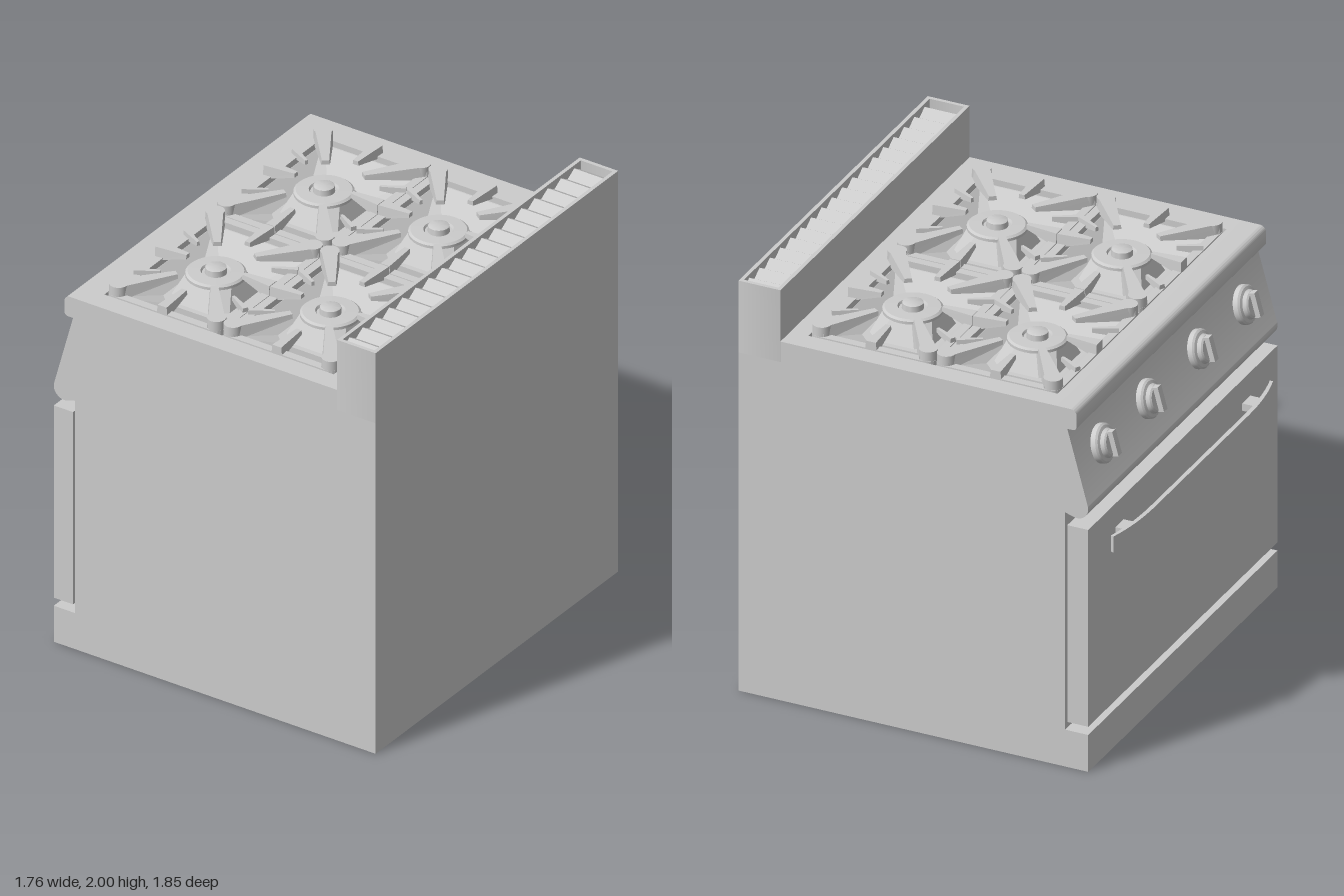
import * as THREE from 'three';
import { toCreasedNormals } from 'three/addons/utils/BufferGeometryUtils.js';

const GREY = new THREE.MeshStandardMaterial({ color: 0xcccccc });
const FACETED = new THREE.MeshStandardMaterial({ color: 0xcccccc, flatShading: true });
const HALF = 0.925; // half width of the cabinet along z

function add(parent, name, geometry, x = 0, y = 0, z = 0, material = GREY) {
  const mesh = new THREE.Mesh(geometry, material);
  mesh.name = name;
  mesh.position.set(x, y, z);
  parent.add(mesh);
  return mesh;
}

// box given by its limits
function block(parent, name, x0, x1, y0, y1, z0, z1) {
  const g = new THREE.BoxGeometry(x1 - x0, y1 - y0, z1 - z0);
  return add(parent, name, g, (x0 + x1) / 2, (y0 + y1) / 2, (z0 + z1) / 2);
}

// side profile (x, y) swept across the width
function sweep(shape, half) {
  const g = new THREE.ExtrudeGeometry(shape, { depth: half * 2, bevelEnabled: false, curveSegments: 12 });
  return toCreasedNormals(g.translate(0, 0, -half), 0.5);
}

// plan outline (x, z) raised from y0 to y1
function slab(shape, y0, y1) {
  const g = new THREE.ExtrudeGeometry(shape, { depth: y1 - y0, bevelEnabled: false, curveSegments: 8 });
  return toCreasedNormals(g.rotateX(-Math.PI / 2).translate(0, y0, 0), 0.5);
}

function roundRect(path, hx, hz, r) {
  path.moveTo(hx, -hz + r);
  path.absarc(hx - r, hz - r, r, 0, Math.PI / 2);
  path.absarc(-hx + r, hz - r, r, Math.PI / 2, Math.PI);
  path.absarc(-hx + r, -hz + r, r, Math.PI, Math.PI * 1.5);
  path.absarc(hx - r, -hz + r, r, Math.PI * 1.5, Math.PI * 2);
  return path;
}

// sloped pan with a raised centre, from chamfered rectangular loops
function panGeometry() {
  const loops = [[0.2975, 0.4125, 0.002, 1.73], [0.255, 0.365, 0.01, 1.725], [0.17, 0.2, 0.05, 1.66],
    [0.15, 0.175, 0.06, 1.66], [0.115, 0.115, 0.065, 1.75]];
  const pos = [], index = [];
  for (const [a, b, c, y] of loops) {
    const ring = [[a, -b + c], [a, b - c], [a - c, b], [-a + c, b], [-a, b - c], [-a, -b + c], [-a + c, -b], [a - c, -b]];
    for (const [x, z] of ring) pos.push(x, y, z);
  }
  for (let l = 0; l < loops.length - 1; l++) {
    for (let i = 0; i < 8; i++) {
      const a = l * 8 + i, a1 = l * 8 + (i + 1) % 8;
      index.push(a, a + 8, a1, a1, a + 8, a1 + 8);
    }
  }
  const g = new THREE.BufferGeometry();
  g.setAttribute('position', new THREE.Float32BufferAttribute(pos, 3));
  g.setIndex(index);
  g.computeVertexNormals();
  return g;
}

// tapered grate finger from (x0, z0) to (x1, z1), its underside rising to the tip
function finger(parent, name, [x0, z0], [x1, z1], w0, w1, top, bottom = 1.735) {
  const length = Math.hypot(x1 - x0, z1 - z0);
  const g = new THREE.BoxGeometry(length, 1, 1).translate(length / 2, 0, 0);
  const p = g.attributes.position;
  for (let i = 0; i < p.count; i++) {
    const tip = p.getX(i) > length / 2, upper = p.getY(i) > 0;
    p.setY(i, upper ? top : tip ? top - 0.02 : bottom);
    p.setZ(i, p.getZ(i) * (tip ? w1 : w0) * (upper ? 0.9 : 1.1));
  }
  g.computeVertexNormals();
  add(parent, name, g, x0, 0, z0).rotation.y = -Math.atan2(z1 - z0, x1 - x0);
}

function makeHob() {
  const hob = new THREE.Group();
  hob.name = 'hobUnit';
  add(hob, 'burnerPan', panGeometry(), 0, 0, 0, FACETED);

  // burner head with a recessed ring and central cap
  const head = [[0.11, 1.735], [0.132, 1.745], [0.132, 1.758], [0.122, 1.766], [0.066, 1.768],
    [0.06, 1.758], [0.048, 1.758], [0.046, 1.785], [0.04, 1.788], [0, 1.788]];
  const lathe = new THREE.LatheGeometry(head.map(([x, y]) => new THREE.Vector2(x, y)), 32);
  add(hob, 'burnerHead', toCreasedNormals(lathe, 0.5));

  // cast grate: frame, corner pads and fingers
  const grate = new THREE.Group();
  grate.name = 'grate';
  hob.add(grate);
  const frame = roundRect(new THREE.Shape(), 0.296, 0.41, 0.04);
  frame.holes.push(roundRect(new THREE.Path(), 0.257, 0.371, 0.02));
  add(grate, 'grateFrame', slab(frame, 1.725, 1.755));
  for (const s of [-1, 1]) {
    finger(grate, 'sideFinger', [s * 0.296, 0], [s * 0.145, 0], 0.06, 0.025, 1.8);
    finger(grate, 'endFinger', [0, s * 0.41], [0, s * 0.24], 0.052, 0.028, 1.79);
    for (const t of [-1, 1]) {
      add(grate, 'cornerPad', new THREE.CylinderGeometry(0.042, 0.042, 0.065, 20), s * 0.254, 1.7675, t * 0.368);
      finger(grate, 'cornerFinger', [s * 0.262, t * 0.378], [s * 0.098, t * 0.155], 0.082, 0.035, 1.8);
      finger(grate, 'smallFin', [s * 0.29, t * 0.2], [s * 0.19, t * 0.145], 0.028, 0.014, 1.775);
    }
  }
  return hob;
}

function makeKnob() {
  const knob = new THREE.Group();
  knob.name = 'controlKnob';
  const dial = [[0.088, -0.01], [0.088, 0.022], [0.08, 0.03], [0.066, 0.034], [0.06, 0.05], [0.052, 0.056], [0, 0.056]];
  const lathe = new THREE.LatheGeometry(dial.map(([x, y]) => new THREE.Vector2(x, y)), 32);
  add(knob, 'knobDial', toCreasedNormals(lathe, 0.5));
  add(knob, 'knobGrip', new THREE.BoxGeometry(0.115, 0.04, 0.034), 0, 0.06, 0);
  return knob;
}

export function createModel() {
  const model = new THREE.Group();
  model.name = 'rangeCooker';

  // cabinet with plinth, door recess and sloping control panel
  const body = new THREE.Shape();
  body.moveTo(0.88, 0);
  body.lineTo(0.88, 1.65);
  body.lineTo(-0.69, 1.65);
  body.lineTo(-0.788, 1.294);
  body.absarc(-0.735, 1.28, 0.055, Math.PI * 0.92, Math.PI * 1.55);
  body.lineTo(-0.68, 1.24);
  body.lineTo(-0.68, 0.18);
  body.lineTo(-0.79, 0.18);
  body.lineTo(-0.79, 0);
  add(model, 'cabinet', sweep(body, HALF));

  // worktop surround with a rounded front edge
  const nose = new THREE.Shape();
  nose.moveTo(-0.595, 1.65);
  nose.lineTo(-0.595, 1.75);
  nose.lineTo(-0.705, 1.75);
  nose.absarc(-0.705, 1.72, 0.03, Math.PI / 2, Math.PI);
  nose.absarc(-0.715, 1.67, 0.02, Math.PI, Math.PI * 1.5);
  add(model, 'worktopFront', sweep(nose, HALF));
  for (const s of [-1, 1]) {
    block(model, 'worktopSide', -0.595, 0.68, 1.65, 1.75, s > 0 ? 0.825 : -HALF, s > 0 ? HALF : -0.825);
  }
  block(model, 'worktopBack', 0.595, 0.68, 1.65, 1.75, -0.825, 0.825);

  // rear flue with a louvred top
  const flue = roundRect(new THREE.Shape(), 0.1, HALF, 0.001);
  flue.holes.push(roundRect(new THREE.Path(), 0.082, 0.907, 0.001));
  add(model, 'rearFlue', slab(flue, 1.65, 2), 0.78);
  const louvres = new THREE.Shape();
  const count = 18, pitch = 1.814 / count;
  louvres.moveTo(-0.907, 1.9);
  for (let i = 0; i < count; i++) {
    louvres.lineTo(-0.907 + i * pitch, 1.955);
    louvres.lineTo(-0.907 + (i + 0.5) * pitch, 1.985);
  }
  louvres.lineTo(0.907, 1.955);
  louvres.lineTo(0.907, 1.9);
  const louvreGeometry = new THREE.ExtrudeGeometry(louvres, { depth: 0.164, bevelEnabled: false });
  add(model, 'flueLouvres', louvreGeometry.translate(0, 0, -0.082).rotateY(-Math.PI / 2), 0.78);

  // four burners with grates
  for (const x of [-0.2975, 0.2975]) {
    for (const z of [-0.4125, 0.4125]) {
      const hob = makeHob();
      hob.position.set(x, 0, z);
      model.add(hob);
    }
  }

  // control knobs, square to the sloping panel
  for (const z of [-0.695, -0.25, 0.25, 0.695]) {
    const knob = makeKnob();
    knob.position.set(-0.738, 1.48, z);
    knob.rotation.z = 1.306;
    model.add(knob);
  }

  // oven door and seal
  block(model, 'ovenDoor', -0.79, -0.69, 0.22, 1.18, -HALF, HALF);
  block(model, 'doorSeal', -0.69, -0.68, 0.24, 1.16, -0.905, 0.905);

  // bowed handle on two brackets
  const bar = new THREE.Shape();
  bar.moveTo(-0.84, -0.78);
  bar.quadraticCurveTo(-0.882, -0.64, -0.882, -0.45);
  bar.lineTo(-0.882, 0.45);
  bar.quadraticCurveTo(-0.882, 0.64, -0.84, 0.78);
  bar.lineTo(-0.826, 0.775);
  bar.quadraticCurveTo(-0.862, 0.64, -0.862, 0.45);
  bar.lineTo(-0.862, -0.45);
  bar.quadraticCurveTo(-0.862, -0.64, -0.826, -0.775);
  add(model, 'doorHandle', slab(bar, 1.01, 1.09));
  for (const z of [-0.62, 0.62]) block(model, 'handleBracket', -0.865, -0.79, 1.03, 1.065, z - 0.04, z + 0.04);

  return model;
}
